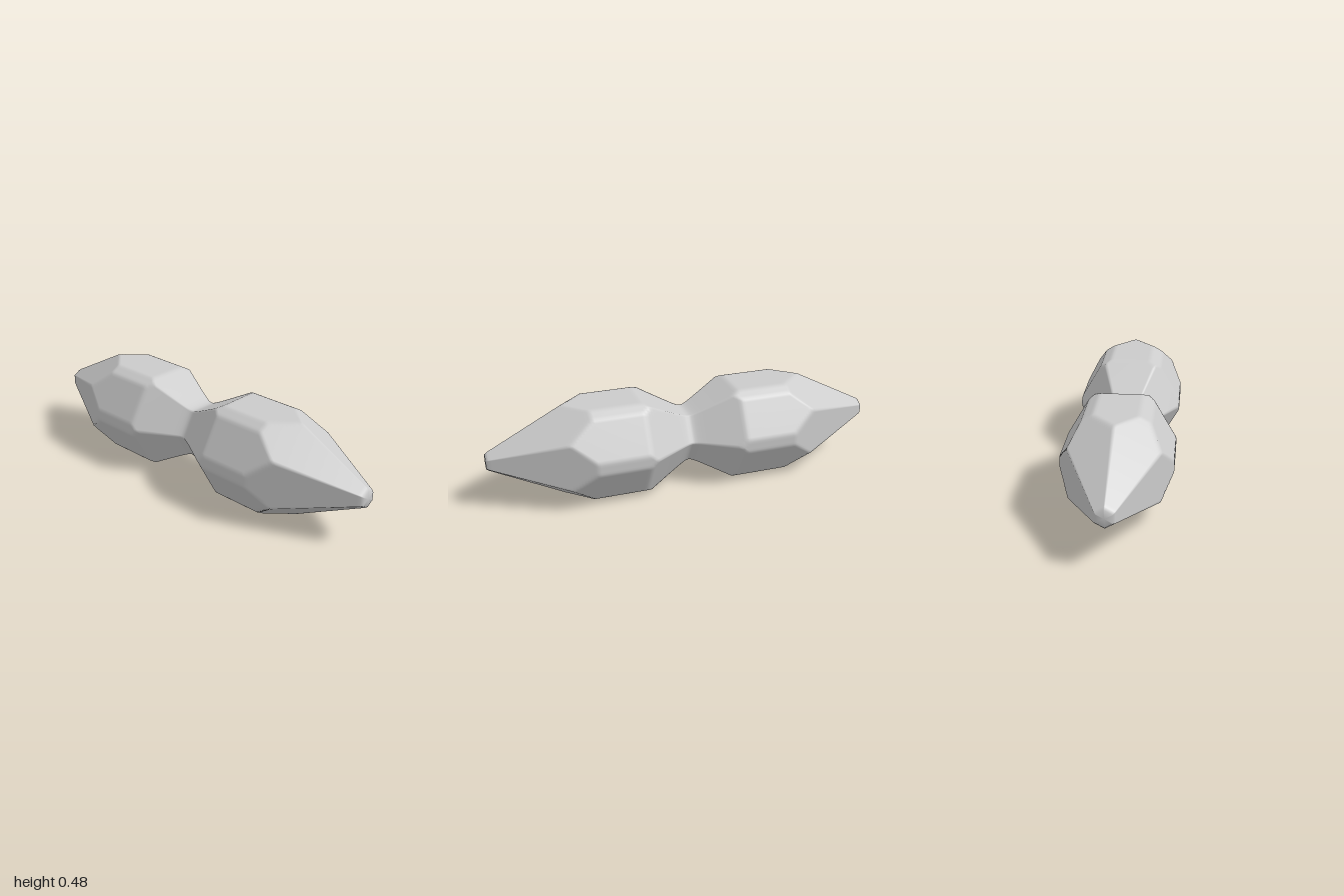
import * as THREE from 'three';
import { mergeVertices } from 'three/addons/utils/BufferGeometryUtils.js';

const SIXTH = Math.PI / 3;

// radius of a hexagon with the given apothem, one flat facing angle "flat"
function hexRadius(angle, apothem, flat) {
  const d = angle - flat;
  return apothem / Math.cos(d - Math.round(d / SIXTH) * SIXTH);
}

// Cross-section at z: a flat-topped hexagon (body and waist) cut by
// a second hexagon turned 30 degrees (chamfers and pointed ends)
function sectionRadius(angle, z) {
  const d = Math.abs(z);
  const waist = 0.112 + 0.53 * Math.hypot(d, 0.02);
  const body = Math.min(0.242, waist);
  let point = Math.min(0.262, 0.038 + 0.455 * (1 - d));
  if (d > 0.995) point -= 0.003;
  return Math.min(hexRadius(angle, body, Math.PI / 6), hexRadius(angle, point, 0));
}

export function createModel() {
  const group = new THREE.Group();

  // Double crystal: a fine cylinder along z, shaped by the section rule
  let geo = new THREE.CylinderGeometry(1, 1, 2, 144, 150);
  geo.rotateX(Math.PI / 2);
  geo.deleteAttribute('uv');
  geo.deleteAttribute('normal');
  const pos = geo.attributes.position;
  for (let i = 0; i < pos.count; i++) {
    const x = pos.getX(i), y = pos.getY(i), z = pos.getZ(i);
    if (Math.hypot(x, y) < 0.5) continue; // centres of the end caps
    const angle = Math.atan2(y, x);
    const r = sectionRadius(angle, z);
    pos.setXY(i, r * Math.cos(angle), r * Math.sin(angle));
  }
  geo = mergeVertices(geo, 1e-5);
  geo.computeVertexNormals();

  const crystal = new THREE.Mesh(geo, new THREE.MeshStandardMaterial({ color: 0xcccccc }));
  crystal.name = 'doubleCrystal';
  crystal.position.y = 0.242;
  group.add(crystal);
  return group;
}
